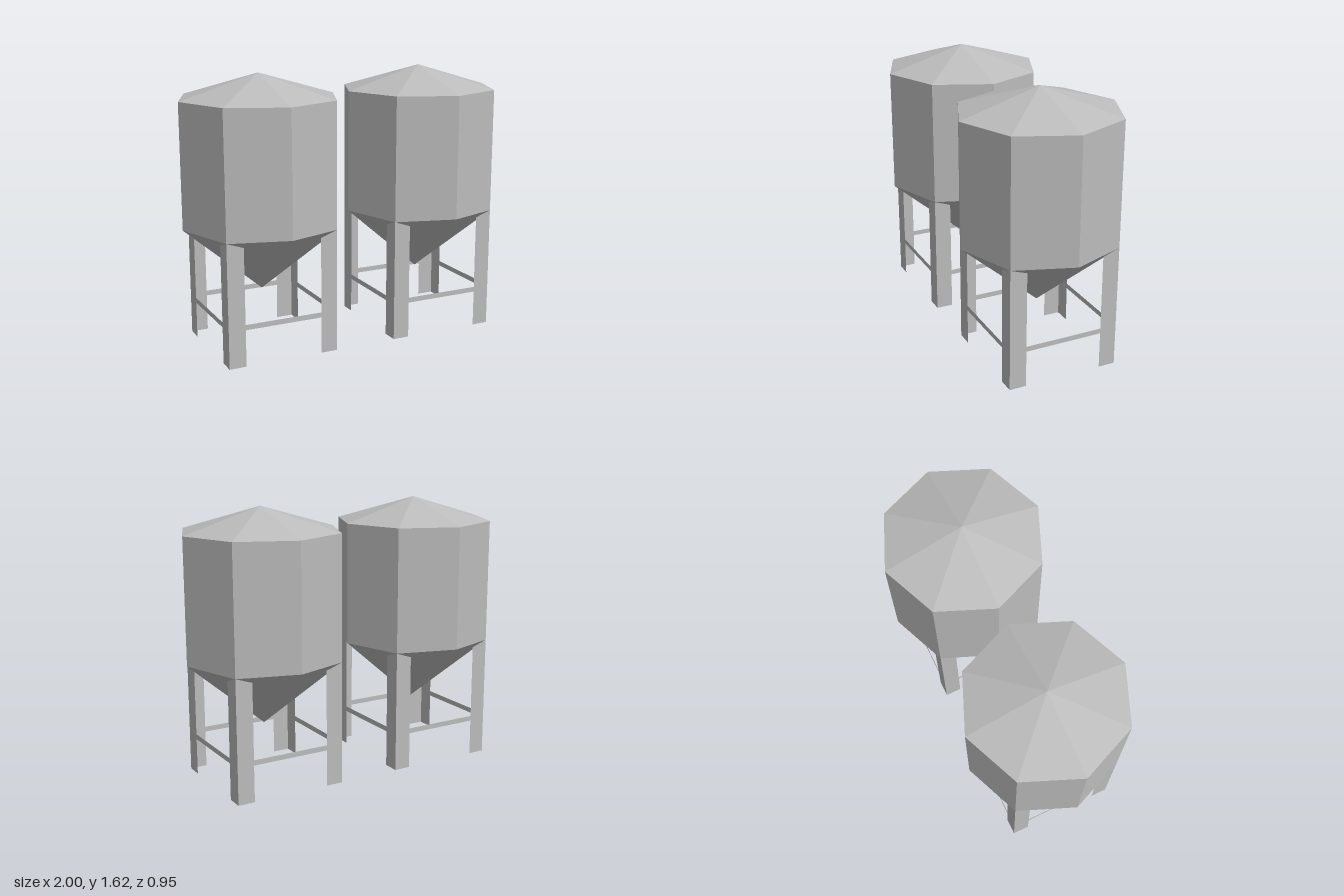
import * as THREE from 'three';
import { mergeGeometries } from 'three/addons/utils/BufferGeometryUtils.js';

const R = 0.474, SPACING = 0.526;           // silo radius, offset of each silo from centre
const EAVE = 1.475, APEX = 1.615;           // roof
const RIM = 0.743, RIM_DIAGONAL = 0.732;    // lower rim, slightly lower at the leg corners
const TIP = 0.335;                          // hopper point
const C = R * Math.SQRT1_2, FLANGE = 0.101; // leg corner position and flange width

const steel = new THREE.MeshStandardMaterial({ color: 0xbcbcbc, flatShading: true, side: THREE.DoubleSide });
steel.name = 'galvanised steel';

function part(name, geometry) {
  const mesh = new THREE.Mesh(geometry, steel);
  mesh.name = name;
  return mesh;
}

// Open eight-sided ring between two heights; the lower rim dips at the diagonals
function ring(topRadius, top, bottomRadius, bottom) {
  const g = new THREE.CylinderGeometry(topRadius, bottomRadius, top - bottom, 8, 1, true);
  g.translate(0, (top + bottom) / 2, 0);
  const p = g.attributes.position;
  for (let i = 0; i < p.count; i++) {
    const diagonal = Math.abs(p.getX(i)) > 0.1 && Math.abs(p.getZ(i)) > 0.1;
    if (diagonal && Math.abs(p.getY(i) - RIM) < 0.001) p.setY(i, RIM_DIAGONAL);
  }
  return g;
}

// Flat sheet from outline points, standing at z = C
function sheet(points) {
  const shape = new THREE.Shape(points.map(([x, y]) => new THREE.Vector2(x, y)));
  return new THREE.ShapeGeometry(shape).translate(0, 0, C);
}

function createSilo() {
  const silo = new THREE.Group();
  silo.add(
    part('roof', ring(0, APEX, R, EAVE)),
    part('tank', ring(R, EAVE, R, RIM)),
    part('hopper', ring(R, RIM, 0, TIP))
  );

  // Angle-section leg: two flanges meeting at the corner, cut to the hopper slope
  const inner = C - FLANGE, cut = 0.697;
  const right = sheet([[inner, 0], [C, 0], [C, RIM_DIAGONAL], [inner, cut]]);
  const left = sheet([[-C, 0], [-inner, 0], [-inner, cut], [-C, RIM_DIAGONAL]]).rotateY(Math.PI / 2);
  const legGeometry = mergeGeometries([right, left]);
  const braceGeometry = sheet([[-inner, 0.218], [inner, 0.218], [inner, 0.249], [-inner, 0.249]]);

  // Four legs with a brace strip along each side
  for (let i = 0; i < 4; i++) {
    const leg = part('leg', legGeometry);
    const brace = part('brace', braceGeometry);
    leg.rotation.y = brace.rotation.y = i * Math.PI / 2;
    silo.add(leg, brace);
  }
  return silo;
}

export function createModel() {
  const model = new THREE.Group();
  model.name = 'twin silos';
  for (const side of [-1, 1]) {
    const silo = createSilo();
    silo.name = side < 0 ? 'rightSilo' : 'leftSilo';
    silo.position.x = side * SPACING;
    model.add(silo);
  }
  return model;
}
